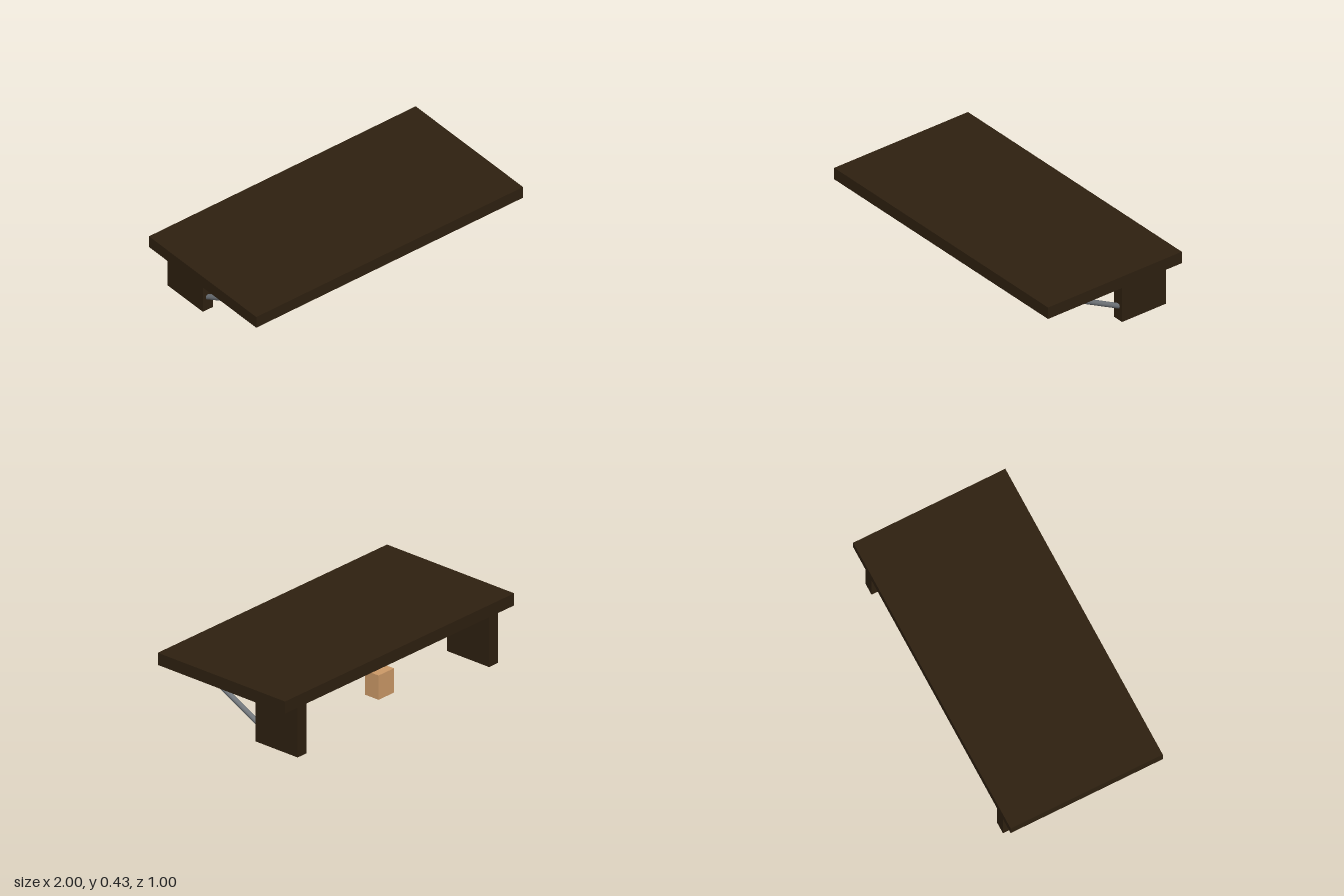
import * as THREE from 'three';

export function createModel() {
  const model = new THREE.Group();
  const material = (name, color) => {
    const m = new THREE.MeshStandardMaterial({ color });
    m.name = name;
    return m;
  };
  const darkWood = material('dark wood', 0x2e2010);
  const lightWood = material('light wood', 0xcd9a68);
  const steel = material('grey steel', 0x70757a);

  // Box given by its minimum and maximum corners
  const box = (name, mat, min, max) => {
    const size = max.map((v, i) => v - min[i]);
    const mesh = new THREE.Mesh(new THREE.BoxGeometry(...size), mat);
    mesh.position.set(...max.map((v, i) => (v + min[i]) / 2));
    mesh.name = name;
    model.add(mesh);
  };

  // Shelf board
  box('shelfBoard', darkWood, [-1, 0.35, -0.5], [1, 0.428, 0.5]);

  // Small block below the board, near the back
  box('block', lightWood, [-0.067, 0.08, -0.395], [0.067, 0.237, -0.29]);

  // Supports, each with a round diagonal brace running through it
  for (const [side, x] of [['left', 0.835], ['right', -0.835]]) {
    box(side + 'Support', darkWood, [x - 0.038, 0.018, -0.485], [x + 0.038, 0.35, -0.155]);

    const low = new THREE.Vector3(x, 0.0145, -0.345);
    const high = new THREE.Vector3(x, 0.353, 0.32);
    const along = high.clone().sub(low);
    const brace = new THREE.Mesh(new THREE.CylinderGeometry(0.0165, 0.0165, along.length(), 16), steel);
    brace.position.copy(low).add(high).multiplyScalar(0.5);
    brace.quaternion.setFromUnitVectors(new THREE.Vector3(0, 1, 0), along.normalize());
    brace.name = side + 'Brace';
    model.add(brace);
  }

  return model;
}
